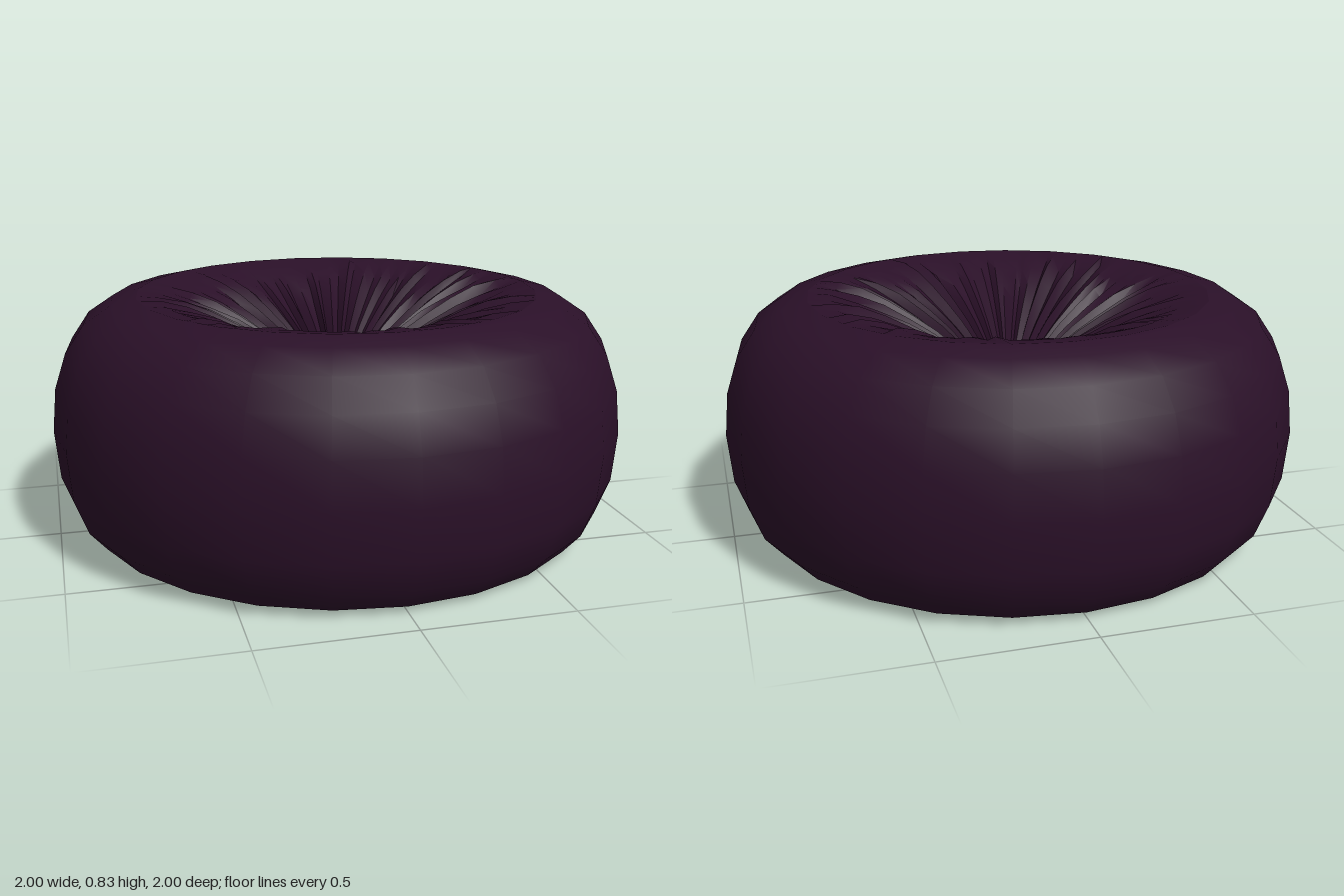
import * as THREE from 'three';
import { toCreasedNormals } from 'three/addons/utils/BufferGeometryUtils.js';

const SIDES = 24;   // sides of the cushion wall
const PLEATS = 96;  // angular steps of the gathered fabric

function seeded(seed) {
  return () => {
    seed = (seed * 16807) % 2147483647;
    return seed / 2147483647;
  };
}

// Circular sheet from the rim [r, y] inwards to the centre, gathered into radial folds
function gatheredSheet(profile, { seed, depth, reach, up }) {
  const random = seeded(seed);
  const pleats = Array.from({ length: PLEATS }, (_, i) => ({
    lift: (i % 2 ? 1 : -1) * depth * (0.15 + 0.85 * random()),
    reach: reach * (0.62 + 0.38 * random()),
    turn: (random() - 0.5) * 0.05,
  }));
  const positions = [];
  const index = [];
  const step = (Math.PI * 2) / SIDES;
  profile.forEach(([r, y], ring) => {
    for (let i = 0; i < PLEATS; i++) {
      const p = pleats[i];
      const base = (i / PLEATS) * Math.PI * 2;
      // The rim follows the straight wall sides
      const chord = Math.cos(step / 2) / Math.cos((base % step) - step / 2);
      const radius = ring === 0 ? r * chord : r;
      const angle = base + (ring === 0 ? 0 : p.turn);
      // Folds fade out at their reach and shrink towards the centre
      const fade = Math.min(1, Math.max(0, (p.reach - r) / 0.15)) * Math.min(1, r / 0.22);
      const lift = ring === 0 ? 0 : p.lift * fade;
      positions.push(radius * Math.sin(angle), y + lift, radius * Math.cos(angle));
    }
  });
  const face = (a, b, c) => index.push(...(up ? [a, b, c] : [a, c, b]));
  for (let ring = 0; ring < profile.length - 1; ring++) {
    for (let i = 0; i < PLEATS; i++) {
      const j = (i + 1) % PLEATS;
      const a = ring * PLEATS + i, b = ring * PLEATS + j;
      const c = a + PLEATS, d = b + PLEATS;
      face(a, b, c);
      if (profile[ring + 1][0] > 0) face(b, d, c);
    }
  }
  const geometry = new THREE.BufferGeometry();
  geometry.setAttribute('position', new THREE.Float32BufferAttribute(positions, 3));
  geometry.setIndex(index);
  return toCreasedNormals(geometry, 0.6);
}

export function createModel() {
  const group = new THREE.Group();
  group.name = 'floorCushion';
  const fabric = new THREE.MeshStandardMaterial({ color: 0x2a1028 });
  fabric.name = 'dark plum fabric';

  const add = (name, geometry) => {
    const mesh = new THREE.Mesh(geometry, fabric);
    mesh.name = name;
    group.add(mesh);
  };

  // Rounded outer wall, up to the crown of the rim
  const wall = [
    [0.88, 0.02], [0.94, 0.09], [0.985, 0.21], [1, 0.38], [0.985, 0.53],
    [0.945, 0.65], [0.88, 0.745], [0.79, 0.805], [0.7, 0.826],
  ].map(([r, y]) => new THREE.Vector2(r, y));
  add('cushionWall', new THREE.LatheGeometry(wall, SIDES));

  // Deep gathered hollow in the top
  add('gatheredTop', gatheredSheet([
    [0.7, 0.826], [0.62, 0.815], [0.53, 0.785], [0.44, 0.745], [0.35, 0.695],
    [0.26, 0.64], [0.17, 0.575], [0.08, 0.51], [0, 0.46],
  ], { seed: 71, depth: 0.024, reach: 0.74, up: true }));

  // Flat base with a shallow gather in the middle
  add('gatheredBase', gatheredSheet([
    [0.88, 0.02], [0.55, 0.015], [0.42, 0.014], [0.3, 0.014],
    [0.2, 0.014], [0.1, 0.018], [0, 0.03],
  ], { seed: 29, depth: 0.013, reach: 0.5, up: false }));

  return group;
}
